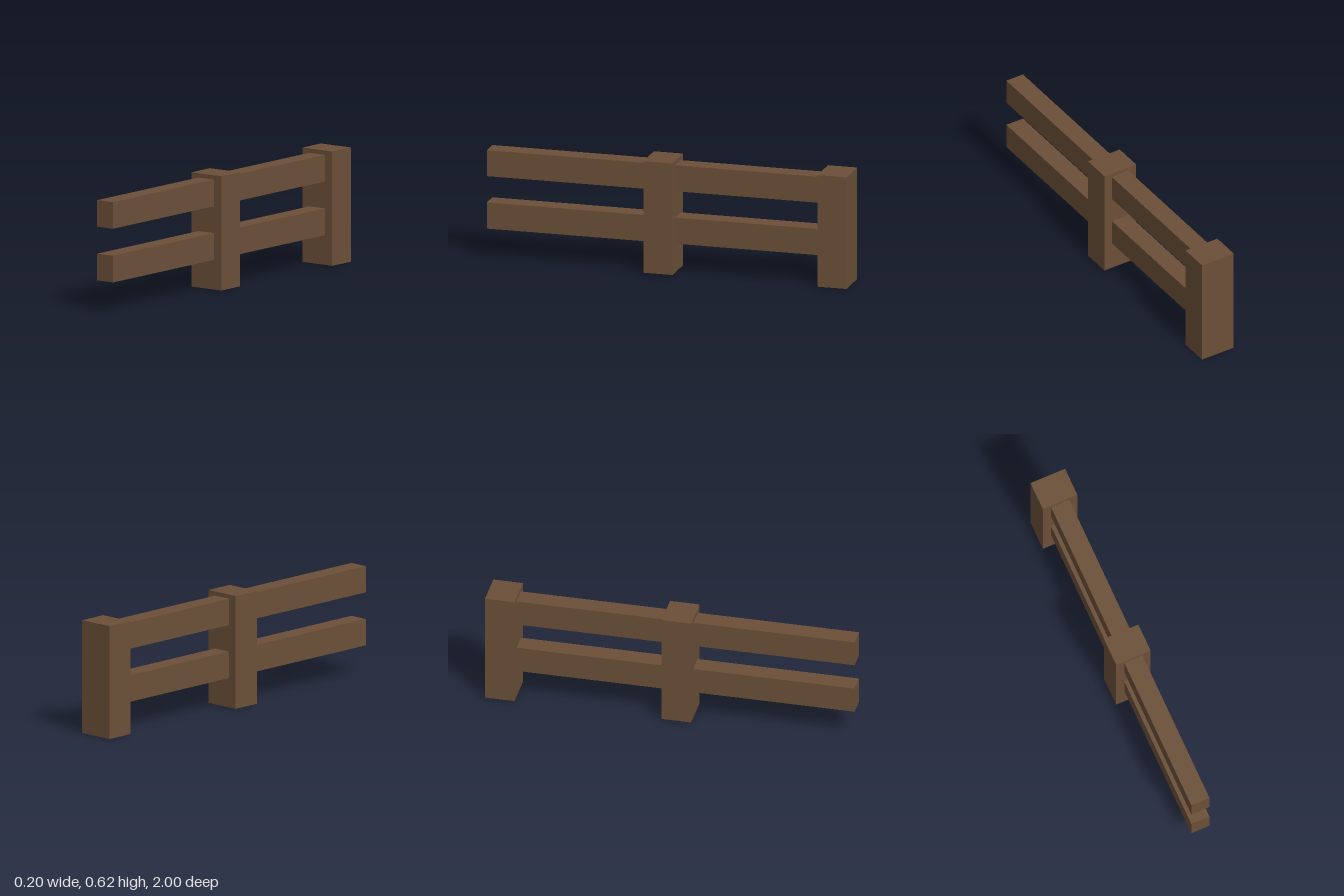
import * as THREE from 'three';

export function createModel() {
  const wood = new THREE.MeshStandardMaterial({ color: 0x6b4f38 });
  const fence = new THREE.Group();
  fence.name = 'fence';

  // Box given by its centre height, height, width and z range
  function beam(name, width, y0, y1, z0, z1) {
    const mesh = new THREE.Mesh(new THREE.BoxGeometry(width, y1 - y0, z1 - z0), wood);
    mesh.name = name;
    mesh.position.set(0, (y0 + y1) / 2, (z0 + z1) / 2);
    fence.add(mesh);
  }

  // Posts at the back end and in the middle
  beam('backPost', 0.2, 0, 0.615, -1, -0.839);
  beam('middlePost', 0.2, 0, 0.615, -0.039, 0.122);

  // Two rails in each bay; the front bay ends open
  for (const [level, y0, y1] of [['lower', 0.16, 0.304], ['upper', 0.449, 0.592]]) {
    beam(level + 'BackRail', 0.105, y0, y1, -0.839, -0.039);
    beam(level + 'FrontRail', 0.105, y0, y1, 0.122, 1);
  }
  return fence;
}
